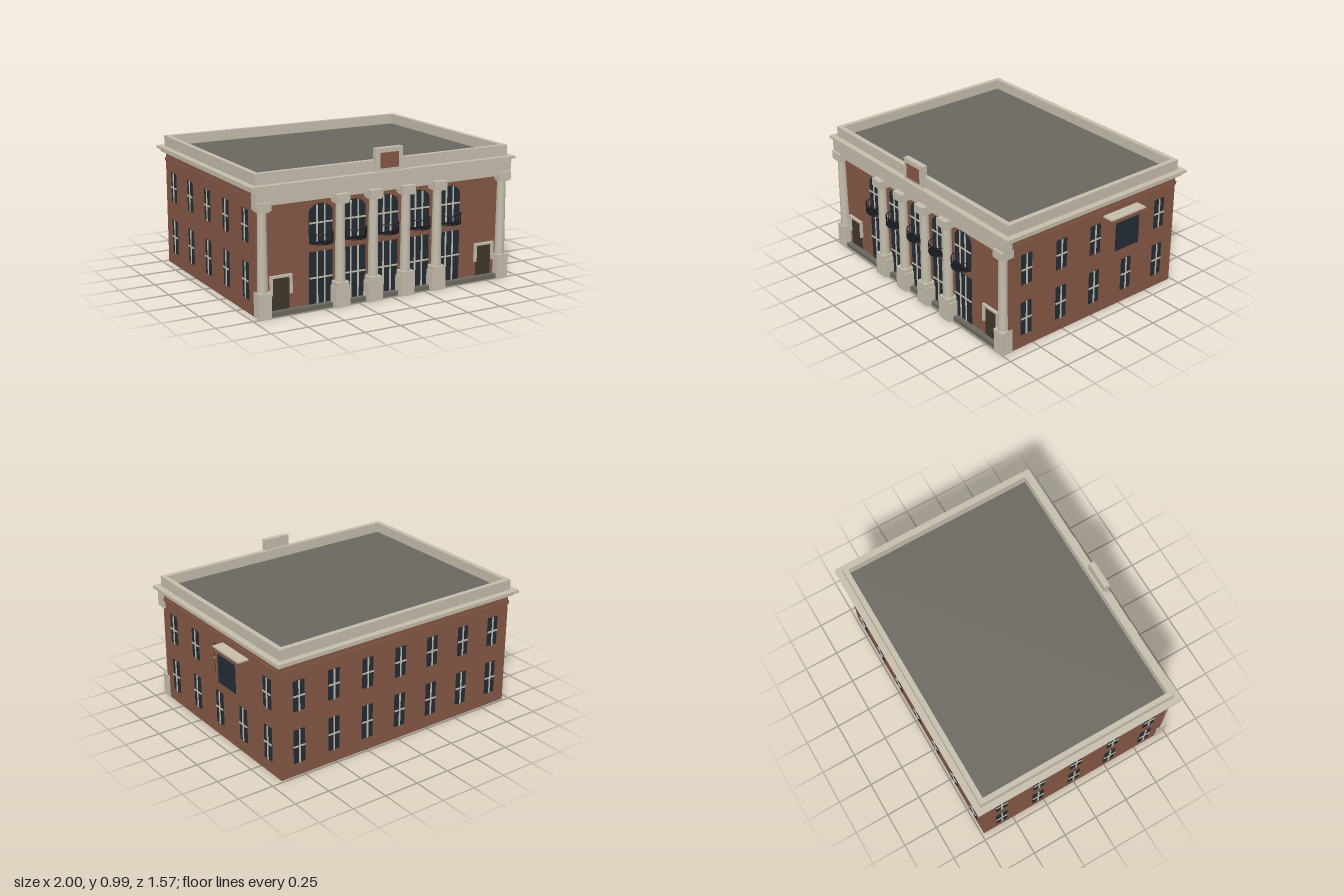
import * as THREE from 'three';

const mat = (name, color, side = THREE.FrontSide) => {
  const m = new THREE.MeshStandardMaterial({ color, side });
  m.name = name;
  return m;
};

export function createModel() {
  const brick = mat('brick', 0x855844);
  const stone = mat('stone', 0xc4bdab);
  const glass = mat('glass', 0x222d35);
  const roofing = mat('roof grey', 0x6a675f);
  const doorWood = mat('dark door', 0x3e362b);
  const iron = mat('black iron', 0x14191d);

  const root = new THREE.Group();
  root.name = 'building';
  const hall = new THREE.Group();
  hall.name = 'hall';
  hall.position.x = -0.0165;
  root.add(hall);

  const add = (parent, name, geo, material, x = 0, y = 0, z = 0) => {
    const m = new THREE.Mesh(geo, material);
    m.name = name;
    m.position.set(x, y, z);
    parent.add(m);
    return m;
  };
  // Box given by its limits on each axis
  const box = (parent, name, material, x0, x1, y0, y1, z0, z1) =>
    add(parent, name, new THREE.BoxGeometry(x1 - x0, y1 - y0, z1 - z0), material,
      (x0 + x1) / 2, (y0 + y1) / 2, (z0 + z1) / 2);
  const group = (parent, name, x = 0, y = 0, z = 0, ry = 0) => {
    const g = new THREE.Group();
    g.name = name;
    g.position.set(x, y, z);
    g.rotation.y = ry;
    parent.add(g);
    return g;
  };
  // Rectangular band running round the building
  const ring = (name, material, hw, z0, z1, y0, y1, t) => {
    const s = new THREE.Shape([[-hw, z0], [hw, z0], [hw, z1], [-hw, z1]]
      .map(([x, z]) => new THREE.Vector2(x, -z)));
    s.holes.push(new THREE.Path([[-hw + t, z0 + t], [-hw + t, z1 - t], [hw - t, z1 - t], [hw - t, z0 + t]]
      .map(([x, z]) => new THREE.Vector2(x, -z))));
    const geo = new THREE.ExtrudeGeometry(s, { depth: y1 - y0, bevelEnabled: false });
    geo.rotateX(-Math.PI / 2);
    add(hall, name, geo, material, 0, y0, 0);
  };

  // Walls, open below, with a slim brick course under the cornice
  const W = 0.937, BACK = -0.733, FRONT = 0.70;
  ring('walls', brick, W, BACK, FRONT, 0, 0.80, 0.02);
  ring('brickCourse', brick, W + 0.006, BACK - 0.006, FRONT, 0.735, 0.757, 0.02);

  // Cornice, parapet and roof
  ring('lowerCornice', stone, 0.965, -0.76, 0.728, 0.80, 0.822, 0.06);
  ring('upperCornice', stone, 0.9835, -0.785, 0.748, 0.822, 0.84, 0.08);
  ring('parapet', stone, 0.941, -0.742, 0.708, 0.84, 0.913, 0.034);
  box(hall, 'roof', roofing, -0.908, 0.908, 0.81, 0.842, -0.71, 0.675);
  box(hall, 'entablature', stone, -0.952, 0.952, 0.715, 0.82, 0.685, 0.742);

  // Raised panel above the front
  box(hall, 'crestBlock', stone, -0.1, 0.1, 0.84, 0.99, 0.69, 0.729);
  box(hall, 'crestPanel', brick, -0.067, 0.067, 0.86, 0.96, 0.725, 0.734);

  // Small cross-barred windows on the sides and back
  const smallWindow = (x, z, ry, y0, y1) => {
    const g = group(hall, 'window', x, 0, z, ry);
    const mid = (y0 + y1) / 2;
    box(g, 'pane', glass, -0.043, 0.043, y0, y1, -0.024, 0.004);
    box(g, 'mullion', stone, -0.005, 0.005, y0, y1, 0, 0.009);
    box(g, 'crossbar', stone, -0.043, 0.043, mid - 0.005, mid + 0.005, 0, 0.009);
  };
  const rows = [[0.093, 0.33], [0.46, 0.67]];
  rows.forEach(([y0, y1], row) => {
    for (let i = 0; i < 5; i++) {
      const z = 0.56 - i * 0.2875;
      smallWindow(-W, z, -Math.PI / 2, y0, y1);
      if (!(row === 1 && i === 3)) smallWindow(W, z, Math.PI / 2, y0, y1);
    }
    for (let i = -3; i <= 3; i++) smallWindow(i * 0.267, BACK, Math.PI, y0, y1);
  });

  // Projecting bay on the left flank
  const bay = group(hall, 'bay');
  box(bay, 'bayBody', brick, 0.925, 1.006, 0.42, 0.702, -0.373, -0.089);
  box(bay, 'bayCap', stone, 0.925, 1.0165, 0.702, 0.713, -0.384, -0.08);
  box(bay, 'bayPane', glass, 1.0, 1.01, 0.468, 0.669, -0.334, -0.128);

  // Curved balcony: half-oval floor, two rails and upright bars
  const RX = 0.08, RZ = 0.08;
  const arc = (y) => new THREE.CatmullRomCurve3(Array.from({ length: 13 }, (_, i) => {
    const a = Math.PI * i / 12;
    return new THREE.Vector3(Math.cos(a) * RX, y, Math.sin(a) * RZ);
  }));
  const balcony = (x) => {
    const g = group(hall, 'balcony', x, 0, FRONT);
    const s = new THREE.Shape();
    s.absellipse(0, 0, RX, RZ, Math.PI, Math.PI * 2, false);
    const floor = new THREE.ExtrudeGeometry(s, { depth: 0.008, bevelEnabled: false, curveSegments: 12 });
    floor.rotateX(-Math.PI / 2);
    add(g, 'balconyFloor', floor, iron, 0, 0.427, 0);
    for (const y of [0.433, 0.494])
      add(g, 'rail', new THREE.TubeGeometry(arc(y), 16, 0.003, 5), iron);
    for (let i = 0; i <= 10; i++) {
      const a = Math.PI * i / 10;
      add(g, 'baluster', new THREE.CylinderGeometry(0.0018, 0.0018, 0.062, 5), iron,
        Math.cos(a) * RX, 0.463, Math.sin(a) * RZ);
    }
  };

  // Tall front windows, arched on the upper floor
  const HW = 0.083;
  const arched = new THREE.Shape();
  arched.moveTo(-HW, 0.43);
  arched.lineTo(HW, 0.43);
  arched.lineTo(HW, 0.62);
  arched.absellipse(0, 0.62, HW, 0.06, 0, Math.PI, false);
  arched.lineTo(-HW, 0.43);
  for (let i = -2; i <= 2; i++) {
    const x = i * 0.2425;
    const g = group(hall, 'frontWindow', x, 0, FRONT);
    box(g, 'lowerPane', glass, -HW, HW, 0.03, 0.37, -0.024, 0.004);
    add(g, 'archedPane', new THREE.ExtrudeGeometry(arched,
      { depth: 0.028, bevelEnabled: false, curveSegments: 10 }), glass, 0, 0, -0.024);
    for (const bx of [-0.027, 0.027]) {
      box(g, 'lowerMullion', stone, bx - 0.005, bx + 0.005, 0.03, 0.37, 0, 0.009);
      box(g, 'upperMullion', stone, bx - 0.005, bx + 0.005, 0.43, 0.674, 0, 0.009);
    }
    for (const y of [0.2, 0.558])
      box(g, 'crossbar', stone, -HW, HW, y - 0.005, y + 0.005, 0, 0.009);
    balcony(x);
  }

  // Columns on pedestals
  const column = (x, z, w) => {
    const g = group(hall, 'column', x, 0, z);
    const h = w / 2;
    box(g, 'pedestal', stone, -h, h, 0, 0.135, -0.04, 0.04);
    box(g, 'pedestalCap', stone, -0.044, 0.044, 0.135, 0.165, -0.042, 0.042);
    add(g, 'shaft', new THREE.CylinderGeometry(0.029, 0.034, 0.52, 20), stone, 0, 0.425, 0);
    box(g, 'capitalNeck', stone, -0.039, 0.039, 0.676, 0.69, -0.04, 0.04);
    box(g, 'capital', stone, -0.047, 0.047, 0.685, 0.738, -0.045, 0.045);
  };
  for (const i of [-1.5, -0.5, 0.5, 1.5]) column(i * 0.2425, 0.737, 0.105);
  for (const s of [-1, 1]) column(s * 0.898, 0.713, 0.086);

  // Front step
  box(hall, 'frontStep', roofing, -0.9, 0.9, 0, 0.03, 0.69, 0.74);

  // Side doors with short hooded surrounds
  for (const s of [-1, 1]) {
    const g = group(hall, 'door', s * 0.769, 0, FRONT);
    box(g, 'doorLeaf', doorWood, -0.06, 0.06, 0.03, 0.24, -0.024, 0.004);
    box(g, 'doorLintel', stone, -0.077, 0.077, 0.24, 0.256, 0, 0.018);
    for (const d of [-1, 1])
      box(g, 'doorJamb', stone, d * 0.0685 - 0.0085, d * 0.0685 + 0.0085, 0.13, 0.24, 0, 0.018);
  }
  return root;
}
